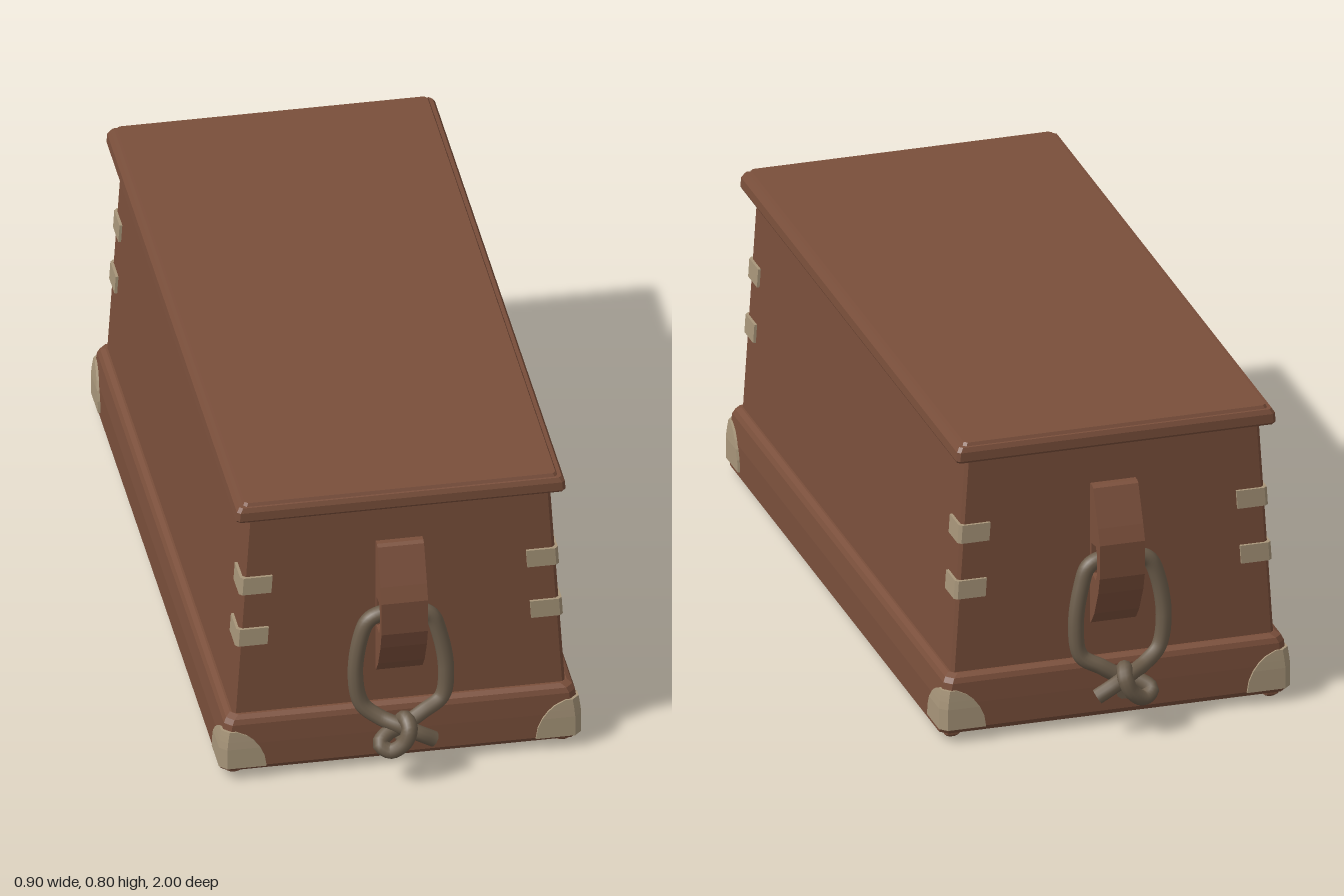
import * as THREE from 'three';

const leather = new THREE.MeshStandardMaterial({ color: 0x7a4f3b });
leather.name = 'brown leather';
const brass = new THREE.MeshStandardMaterial({ color: 0xa8967a, side: THREE.DoubleSide });
brass.name = 'dull brass';
const rope = new THREE.MeshStandardMaterial({ color: 0x6c5d4b });
rope.name = 'rope';

function add(group, name, geometry, material) {
  const mesh = new THREE.Mesh(geometry, material);
  mesh.name = name;
  group.add(mesh);
  return mesh;
}

function fromTriangles(positions) {
  const g = new THREE.BufferGeometry();
  g.setAttribute('position', new THREE.Float32BufferAttribute(positions, 3));
  g.computeVertexNormals();
  return g;
}

// Stack of chamfered rectangles, each [halfX, halfZ, y], closed at both ends
function loft(rings, c) {
  const loops = rings.map(([x, z, y]) => [
    [x - c, y, z], [x, y, z - c], [x, y, c - z], [x - c, y, -z],
    [c - x, y, -z], [-x, y, c - z], [-x, y, z - c], [c - x, y, z],
  ]);
  const out = [];
  const tri = (a, b, d) => out.push(...a, ...b, ...d);
  for (let r = 0; r + 1 < loops.length; r++) {
    for (let i = 0; i < 8; i++) {
      const j = (i + 1) % 8, lo = loops[r], hi = loops[r + 1];
      tri(lo[i], lo[j], hi[j]);
      tri(lo[i], hi[j], hi[i]);
    }
  }
  const bottom = loops[0], top = loops[loops.length - 1];
  for (let i = 1; i < 7; i++) {
    tri(bottom[0], bottom[i + 1], bottom[i]);
    tri(top[0], top[i], top[i + 1]);
  }
  return fromTriangles(out);
}

// Plate wrapped round a vertical corner; each level is [y, outerX, outerZ, reach]
function cornerPlate(levels, c, sx, sz) {
  const t = 0.009;
  const inset = ([y, x, z, w]) => [y, x - t, z - t, w - t];
  const all = [inset(levels[0]), ...levels, inset(levels[levels.length - 1])];
  const rows = all.map(([y, x, z, w]) => [
    [x - w, z - t], [x - w, z], [x - c, z], [x, z - c], [x, z - w], [x - t, z - w],
  ].map(([px, pz]) => [px * sx, y, pz * sz]));
  const out = [];
  const tri = (a, b, d) => (sx * sz > 0 ? out.push(...a, ...b, ...d) : out.push(...a, ...d, ...b));
  for (let r = 0; r + 1 < rows.length; r++) {
    for (let i = 0; i < 5; i++) {
      tri(rows[r][i], rows[r][i + 1], rows[r + 1][i + 1]);
      tri(rows[r][i], rows[r + 1][i + 1], rows[r + 1][i]);
    }
  }
  return fromTriangles(out);
}

const bodyHalfX = (y) => 0.415 - (y - 0.175) * 0.065;

export function createModel() {
  const chest = new THREE.Group();
  chest.name = 'chest';

  // Tapered body, base plinth and lid
  add(chest, 'body', loft([[bodyHalfX(0.1), 0.855, 0.1], [bodyHalfX(0.76), 0.855, 0.76]], 0.008), leather);
  add(chest, 'base', loft([
    [0.446, 0.87, 0.02], [0.446, 0.882, 0.035], [0.445, 0.882, 0.1],
    [0.438, 0.88, 0.155], [0.432, 0.875, 0.168], [0.42, 0.862, 0.175],
  ], 0.018), leather);
  add(chest, 'lid', loft([
    [0.408, 0.885, 0.746], [0.411, 0.889, 0.752], [0.409, 0.889, 0.775],
    [0.402, 0.884, 0.787], [0.392, 0.88, 0.788], [0.388, 0.876, 0.796],
  ], 0.008), leather);

  // Runners under the base
  for (const s of [-1, 1]) {
    const runner = add(chest, 'runner', loft([
      [0.012, 0.845, 0], [0.019, 0.852, 0.007], [0.02, 0.853, 0.025],
    ], 0.006), leather);
    runner.position.x = 0.41 * s;
  }

  // Pointed flap under each end of the lid
  const flap = new THREE.Shape([
    [-0.385, 0.75], [-0.02, 0.685], [0.02, 0.685], [0.385, 0.75],
  ].map((p) => new THREE.Vector2(...p)));
  const flapGeometry = new THREE.ExtrudeGeometry(flap, { depth: 0.035, bevelEnabled: false });
  flapGeometry.translate(0, 0, 0.85);

  // Bracket profile in z and y, with a hole for the rope
  const side = new THREE.Shape([
    [0.85, 0.265], [0.86, 0.265], [0.888, 0.3], [0.92, 0.365], [0.933, 0.41],
    [0.935, 0.5], [0.92, 0.54], [0.88, 0.632], [0.87, 0.637], [0.85, 0.637],
  ].map((p) => new THREE.Vector2(...p)));
  side.holes.push(new THREE.Path([
    [0.866, 0.4], [0.866, 0.48], [0.9, 0.485], [0.911, 0.465], [0.911, 0.415], [0.9, 0.395],
  ].map((p) => new THREE.Vector2(...p))));
  const bracketGeometry = new THREE.ExtrudeGeometry(side, { depth: 0.116, bevelEnabled: false });
  bracketGeometry.translate(0, 0, -0.058).rotateY(-Math.PI / 2);

  // Rope path: loose end, loop through the bracket, then the knot
  const ropePath = [
    [0.07, 0.105, 0.95], [0.03, 0.13, 0.955], [-0.01, 0.148, 0.945], [-0.06, 0.165, 0.92],
    [-0.102, 0.2, 0.906], [-0.117, 0.28, 0.9], [-0.104, 0.38, 0.893], [-0.083, 0.43, 0.89],
    [-0.05, 0.446, 0.888], [0.04, 0.446, 0.888], [0.074, 0.43, 0.89], [0.093, 0.38, 0.893],
    [0.109, 0.28, 0.9], [0.098, 0.2, 0.906], [0.05, 0.17, 0.918], [0, 0.14, 0.925],
    [-0.045, 0.128, 0.94], [-0.066, 0.112, 0.96], [-0.042, 0.098, 0.974], [-0.01, 0.12, 0.98],
    [0.005, 0.155, 0.975], [0, 0.172, 0.95], [-0.008, 0.15, 0.925], [-0.005, 0.112, 0.925],
    [0, 0.108, 0.95],
  ];

  for (const s of [-1, 1]) {
    const turn = s > 0 ? 0 : Math.PI;
    add(chest, 'lidFlap', flapGeometry, leather).rotation.y = turn;
    add(chest, 'handleBracket', bracketGeometry, leather).rotation.y = turn;

    const curve = new THREE.CatmullRomCurve3(ropePath.map(([x, y, z]) => new THREE.Vector3(x, y, z * s)));
    const handle = new THREE.Group();
    handle.name = 'ropeHandle';
    add(handle, 'ropeLoop', new THREE.TubeGeometry(curve, 160, 0.02, 10), rope);
    // Cut ends of the rope
    for (const t of [0, 1]) {
      const cap = add(handle, 'ropeEnd', new THREE.CircleGeometry(0.02, 10), rope);
      const p = curve.getPointAt(t);
      const outward = curve.getTangentAt(t).multiplyScalar(t ? 1 : -1);
      cap.position.copy(p);
      cap.lookAt(p.clone().add(outward));
    }
    chest.add(handle);
  }

  // Metal corners on the base and two clasps on each upright edge
  const cornerLevels = [
    [0.035, 0.452, 0.888, 0.116], [0.065, 0.452, 0.888, 0.111], [0.09, 0.452, 0.888, 0.1],
    [0.11, 0.45, 0.887, 0.083], [0.125, 0.448, 0.886, 0.064], [0.138, 0.446, 0.885, 0.035],
  ];
  const clasp = (y0, y1) => [y0, y1].map((y) => [y, bodyHalfX(y) + 0.007, 0.862, 0.08]);
  for (const sx of [-1, 1]) {
    for (const sz of [-1, 1]) {
      add(chest, 'baseCorner', cornerPlate(cornerLevels, 0.018, sx, sz), brass);
      add(chest, 'upperClasp', cornerPlate(clasp(0.52, 0.568), 0.008, sx, sz), brass);
      add(chest, 'lowerClasp', cornerPlate(clasp(0.372, 0.42), 0.008, sx, sz), brass);
    }
  }
  return chest;
}
